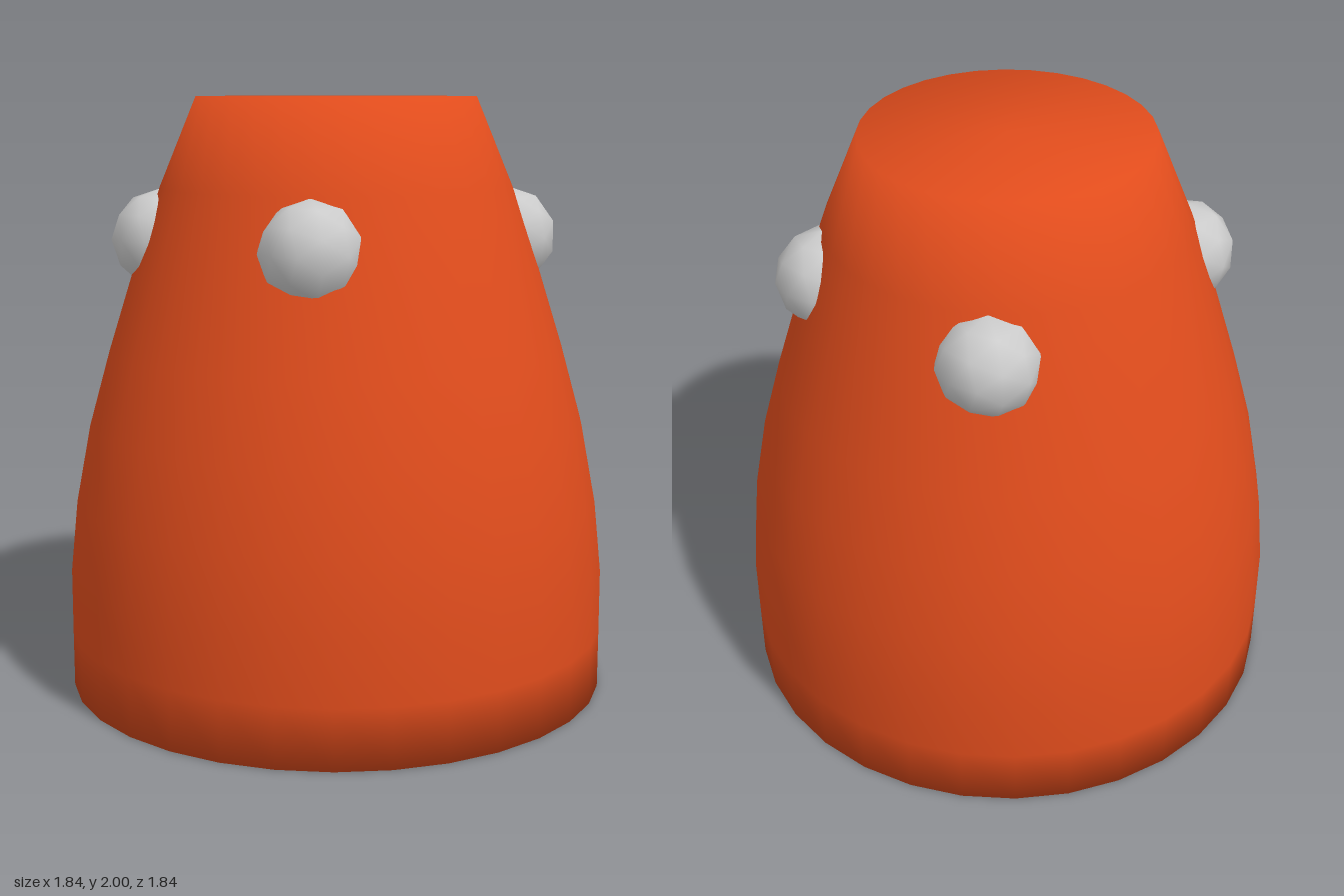
import * as THREE from 'three';

export function createModel() {
  const model = new THREE.Group();
  const orange = new THREE.MeshStandardMaterial({ color: 0xe04c1c });
  const grey = new THREE.MeshStandardMaterial({ color: 0xcccccc });

  // Tapering body with flat, softly shaded caps: [radius, height]
  const profile = [
    [0, 0], [0.918, 0], [0.918, 0.2], [0.917, 0.41], [0.892, 0.65], [0.842, 0.91],
    [0.772, 1.16], [0.69, 1.42], [0.595, 1.7], [0.47, 2], [0, 2],
  ].map(([r, y]) => new THREE.Vector2(r, y));
  const body = new THREE.Mesh(new THREE.LatheGeometry(profile, 32), orange);
  body.name = 'body';
  model.add(body);

  // Four round studs, half sunk into the upper body
  const studGeometry = new THREE.IcosahedronGeometry(0.168, 1);
  for (const sx of [1, -1]) {
    for (const sz of [1, -1]) {
      const stud = new THREE.Mesh(studGeometry, grey);
      stud.name = `${sz > 0 ? 'front' : 'back'}${sx > 0 ? 'Left' : 'Right'}Stud`;
      stud.position.set(sx * 0.463, 1.53, sz * 0.362);
      model.add(stud);
    }
  }
  return model;
}
